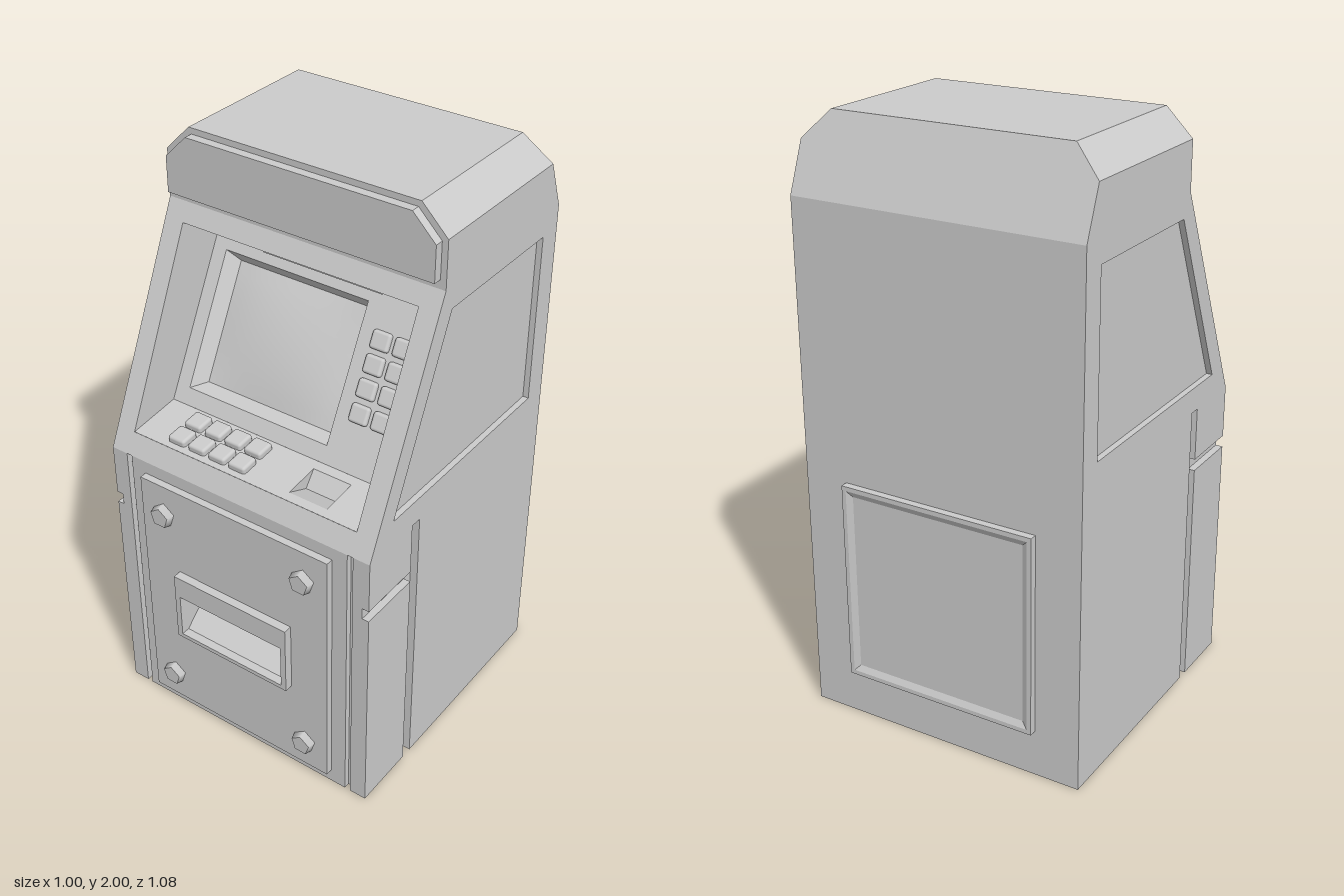
import * as THREE from 'three';
import { RoundedBoxGeometry } from 'three/addons/geometries/RoundedBoxGeometry.js';

const grey = new THREE.MeshStandardMaterial({ color: 0xcccccc });
const sheetGrey = new THREE.MeshStandardMaterial({ color: 0xcccccc, side: THREE.DoubleSide });

// Profile rules: sloped fascia, recessed screen wall and control ledge
const slopeZ = (y) => 0.485 - (y - 1) * 0.4667;
const wallZ = (y) => 0.26 - (y - 1.09) * 0.52;
const ledgeY = (z) => 1.07 + (0.452 - z) * 0.104;
const WALL_TILT = Math.atan(0.52);
const LEDGE_TILT = Math.atan(0.104);

export function createModel() {
  const root = new THREE.Group();

  const add = (name, geometry, x = 0, y = 0, z = 0, material = grey, parent = root) => {
    const mesh = new THREE.Mesh(geometry, material);
    mesh.name = name;
    mesh.position.set(x, y, z);
    parent.add(mesh);
    return mesh;
  };
  const rect = (x0, x1, y0, y1) => [[x0, y0], [x1, y0], [x1, y1], [x0, y1]];
  const makeShape = (points, holes = []) => {
    const shape = new THREE.Shape(points.map((p) => new THREE.Vector2(...p)));
    holes.forEach((h) => shape.holes.push(new THREE.Path(h.map((p) => new THREE.Vector2(...p)))));
    return shape;
  };
  // Flat sheet with holes, placed in space by a mapping rule
  const sheet = (name, points, holes, map) => {
    const g = new THREE.ShapeGeometry(makeShape(points, holes)).toNonIndexed();
    const pos = g.attributes.position;
    for (let i = 0; i < pos.count; i++) pos.setXYZ(i, ...map(pos.getX(i), pos.getY(i)));
    g.computeVertexNormals();
    return add(name, g, 0, 0, 0, sheetGrey);
  };
  // Flat convex polygons given by their corners
  const polys = (name, list) => {
    const data = [];
    list.forEach((p) => {
      for (let i = 1; i < p.length - 1; i++) data.push(...p[0], ...p[i], ...p[i + 1]);
    });
    const g = new THREE.BufferGeometry();
    g.setAttribute('position', new THREE.Float32BufferAttribute(data, 3));
    g.computeVertexNormals();
    return add(name, g, 0, 0, 0, sheetGrey);
  };
  // Quads joining two closed loops
  const band = (a, b) => a.map((p, i) => {
    const j = (i + 1) % a.length;
    return [p, a[j], b[j], b[i]];
  });
  const plate = (name, points, holes, depth, z) =>
    add(name, new THREE.ExtrudeGeometry(makeShape(points, holes), { depth, bevelEnabled: false }), 0, 0, z);

  // Lower cabinet: stacked plan sections with grooves, side notch and cash pocket
  const layer = (y0, y1, sideX, pocket) => {
    const half = [
      ...(pocket ? [[0.205, 0.485 - pocket], [0.205, 0.485]] : []),
      [0.42, 0.485], [0.42, 0.465], [0.44, 0.465], [0.44, 0.485],
      [sideX, 0.485], [sideX, 0.26], [0.474, 0.26], [0.474, 0.22], [0.5, 0.22], [0.5, -0.51],
    ];
    const loop = [...half, ...half.map(([x, z]) => [-x, z]).reverse()].map(([x, z]) => [x, -z]);
    const g = new THREE.ExtrudeGeometry(makeShape(loop), { depth: y1 - y0, bevelEnabled: false });
    add('lowerCabinet', g.rotateX(-Math.PI / 2), 0, y0, 0);
  };
  layer(0, 0.39, 0.5, 0);
  layer(0.39, 0.55, 0.5, 0.1);
  layer(0.55, 0.78, 0.5, 0);
  layer(0.78, 0.82, 0.476, 0);
  layer(0.82, 1, 0.5, 0);

  // Upper housing: side profiles lofted across x with chamfered shoulders
  const section = (x, top, back) => [
    [x, 1, 0.485], [x, 1.75, 0.135], [x, top, 0.135], [x, top, back], [x, 1.75, -0.51], [x, 1, -0.51],
  ];
  const sections = [
    section(-0.5, 1.91, -0.446), section(-0.41, 2, -0.41),
    section(0.41, 2, -0.41), section(0.5, 1.91, -0.446),
  ];
  for (let s = 0; s < 3; s++) {
    polys('upperHousing', band(sections[s], sections[s + 1]).slice(1, 5));
  }

  // Housing sides with sunken panels
  const sideWindow = [[0.365, 1.085], [0.095, 1.675], [-0.425, 1.675], [-0.425, 1.085]];
  for (const s of [-1, 1]) {
    const outline = sections[0].map(([, y, z]) => [z, y]);
    sheet('housingSide', outline, [sideWindow], (z, y) => [s * 0.5, y, z]);
    const outer = sideWindow.map(([z, y]) => [s * 0.5, y, z]);
    const inner = sideWindow.map(([z, y]) => [s * 0.48, y, z]);
    polys('sidePanel', [...band(outer, inner), inner]);
  }

  // Sloped fascia and the recess behind it
  sheet('fascia', rect(-0.5, 0.5, 1, 1.75), [rect(-0.43, 0.43, 1.07, 1.69)], (x, y) => [x, y, slopeZ(y)]);
  const recess = (x) => [[x, 1.07, slopeZ(1.07)], [x, 1.09, 0.26], [x, 1.61, wallZ(1.61)], [x, 1.69, slopeZ(1.69)]];
  const [left, right] = [recess(0.43), recess(-0.43)];
  polys('recessSides', [left, right]);
  polys('recessCeiling', [[left[2], left[3], right[3], right[2]]]);
  add('recessLamp', new THREE.BoxGeometry(0.44, 0.03, 0.05), 0.02, 1.63, 0.035);

  // Screen wall, bevelled surround and bulging screen
  const screenHole = rect(-0.38, 0.165, 1.14, 1.55);
  const [sx0, sx1, sy0, sy1] = [-0.345, 0.145, 1.168, 1.53];
  sheet('screenWall', rect(-0.43, 0.43, 1.09, 1.61), [screenHole], (x, y) => [x, y, wallZ(y)]);
  const sunk = (x, y, d) => [x, y - d * Math.sin(WALL_TILT), wallZ(y) - d * Math.cos(WALL_TILT)];
  polys('screenSurround', band(
    screenHole.map(([x, y]) => sunk(x, y, 0)),
    rect(sx0, sx1, sy0, sy1).map(([x, y]) => sunk(x, y, 0.045)),
  ));
  const screen = new THREE.PlaneGeometry(1, 1, 12, 10);
  const sp = screen.attributes.position;
  for (let i = 0; i < sp.count; i++) {
    const [u, v] = [sp.getX(i), sp.getY(i)];
    const bulge = 0.02 * (1 - 4 * u * u) * (1 - 4 * v * v);
    sp.setXYZ(i, ...sunk(sx0 + (u + 0.5) * (sx1 - sx0), sy0 + (v + 0.5) * (sy1 - sy0), 0.045 - bulge));
  }
  screen.computeVertexNormals();
  add('screen', screen);

  // Side keypad on the screen wall
  for (const x of [0.247, 0.327]) {
    for (const y of [1.255, 1.325, 1.393, 1.461]) {
      const key = add('sideKey', new RoundedBoxGeometry(0.066, 0.06, 0.03, 2, 0.01), x, y, wallZ(y));
      key.rotation.x = -WALL_TILT;
    }
  }

  // Control ledge with keypad and card slot
  sheet('ledge', rect(-0.43, 0.43, 0.26, 0.452), [rect(0.16, 0.3, 0.295, 0.42)], (x, z) => [x, ledgeY(z), z]);
  for (const x of [-0.276, -0.196, -0.116, -0.037]) {
    for (const z of [0.317, 0.397]) {
      const key = add('ledgeKey', new RoundedBoxGeometry(0.066, 0.045, 0.066, 2, 0.01), x, ledgeY(z), z);
      key.rotation.x = LEDGE_TILT;
    }
  }
  const slot = (x) => [[x, ledgeY(0.42), 0.42], [x, 1.035, 0.335], [x, ledgeY(0.295), 0.295]];
  const [slotA, slotB] = [slot(0.16), slot(0.3)];
  polys('cardSlot', [slotA, slotB, ...band(slotA, slotB).slice(0, 2)]);

  // Header sign panel
  plate('headerPanel', [
    [-0.48, 1.78], [0.48, 1.78], [0.48, 1.9], [0.4, 1.98], [-0.4, 1.98], [-0.48, 1.9],
  ], [], 0.03, 0.135);

  // Front door, cash dispenser and five-sided bolts
  const cashHole = rect(-0.205, 0.205, 0.39, 0.55);
  plate('frontDoor', rect(-0.365, 0.365, 0.05, 0.955), [cashHole], 0.025, 0.485);
  plate('dispenserFrame', rect(-0.225, 0.225, 0.375, 0.63), [cashHole], 0.03, 0.51);
  polys('dispenserRamp', [[[-0.205, 0.39, 0.51], [0.205, 0.39, 0.51], [0.205, 0.5, 0.386], [-0.205, 0.5, 0.386]]]);
  for (const x of [-0.275, 0.275]) {
    for (const y of [0.155, 0.845]) {
      const bolt = new THREE.CylinderGeometry(0.036, 0.043, 0.027, 5).rotateY(Math.PI).rotateX(Math.PI / 2);
      add('doorBolt', bolt, x, y, 0.5225);
    }
  }

  // Rear service panel with a dished centre
  const rear = (inset, z) =>
    rect(-0.345 + inset, 0.345 - inset, 0.16 + inset, 0.845 - inset).map(([x, y]) => [x, y, z]);
  const rings = [rear(0, -0.51), rear(0, -0.535), rear(0.015, -0.535), rear(0.035, -0.525)];
  polys('rearPanel', [
    ...band(rings[0], rings[1]), ...band(rings[1], rings[2]), ...band(rings[2], rings[3]), rings[3],
  ]);

  return root;
}
